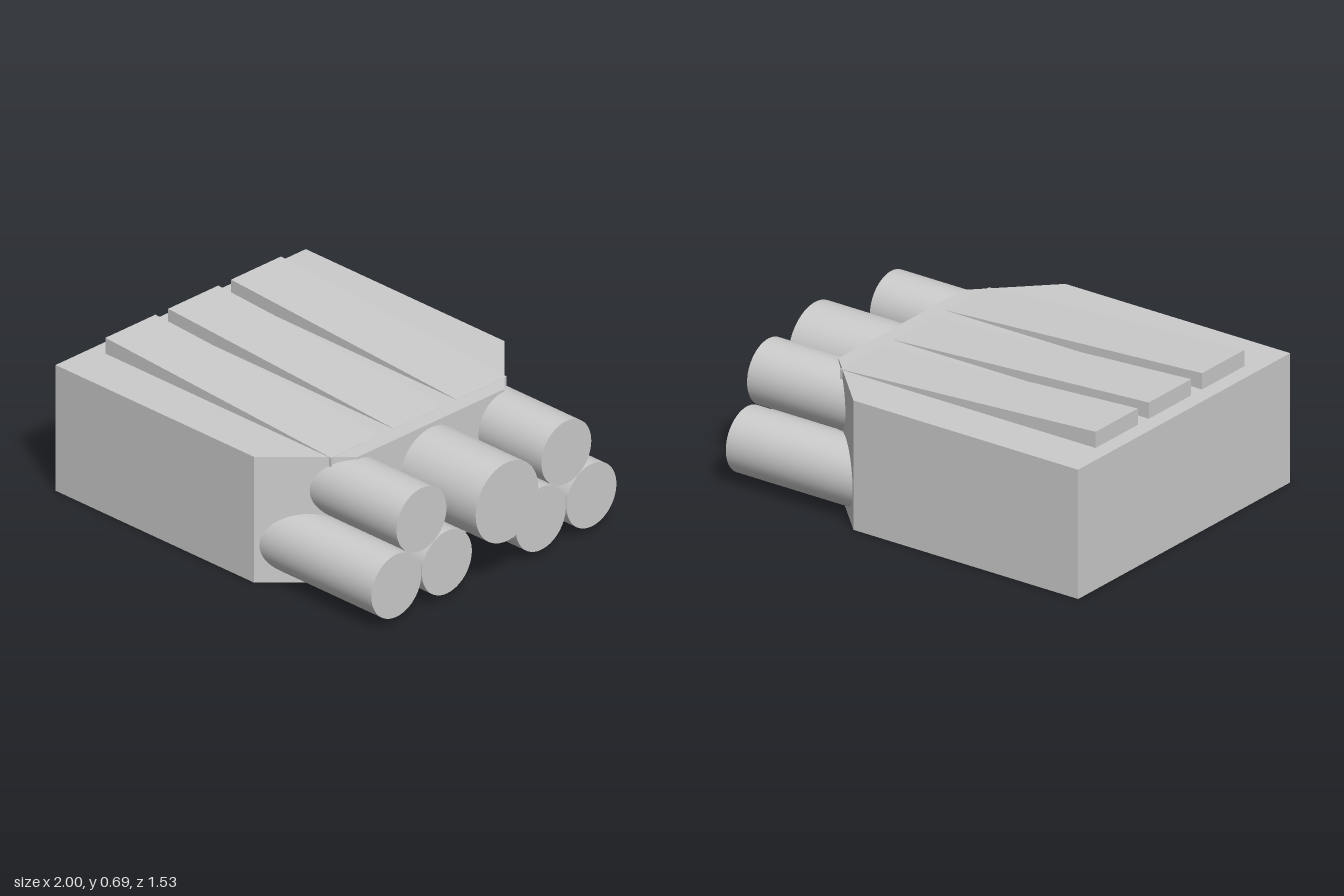
import * as THREE from 'three';

const material = new THREE.MeshStandardMaterial({ color: 0xcccccc });

function polygon(points) {
  return new THREE.Shape(points.map(([x, y]) => new THREE.Vector2(x, y)));
}

export function createModel() {
  const group = new THREE.Group();
  const add = (name, geometry) => {
    const mesh = new THREE.Mesh(geometry, material);
    mesh.name = name;
    group.add(mesh);
    return mesh;
  };

  // Block with two chamfered vertical corners, extruded upwards
  const plan = polygon([
    [-1, -0.767], [0.217, -0.767], [0.535, -0.45],
    [0.535, 0.45], [0.217, 0.767], [-1, 0.767],
  ]);
  const body = new THREE.ExtrudeGeometry(plan, { depth: 0.615, bevelEnabled: false });
  body.rotateX(-Math.PI / 2);
  add('body', body);

  // Three tapering ridges that sink into the top
  const ridgeProfile = polygon([[-0.923, 0.55], [0.46, 0.55], [0.46, 0.616], [-0.923, 0.692]]);
  for (const z of [-0.385, 0, 0.385]) {
    const ridge = new THREE.ExtrudeGeometry(ridgeProfile, { depth: 0.307, bevelEnabled: false });
    add('topRidge', ridge).position.z = z - 0.1535;
  }

  // Barrels along x, starting inside the body: [name, y, z, radius, end x]
  const barrels = [['centreBarrel', 0.402, 0, 0.192, 1]];
  for (const side of [-1, 1]) {
    barrels.push(['upperBarrel', 0.45, side * 0.444, 0.153, 0.92]);
    barrels.push(['lowerInnerBarrel', 0.183, side * 0.288, 0.153, 0.92]);
    barrels.push(['lowerOuterBarrel', 0.183, side * 0.598, 0.153, 0.92]);
  }
  const start = 0.15;
  for (const [name, y, z, radius, end] of barrels) {
    const barrel = new THREE.CylinderGeometry(radius, radius, end - start, 48);
    barrel.rotateZ(-Math.PI / 2);
    add(name, barrel).position.set((start + end) / 2, y, z);
  }

  return group;
}
